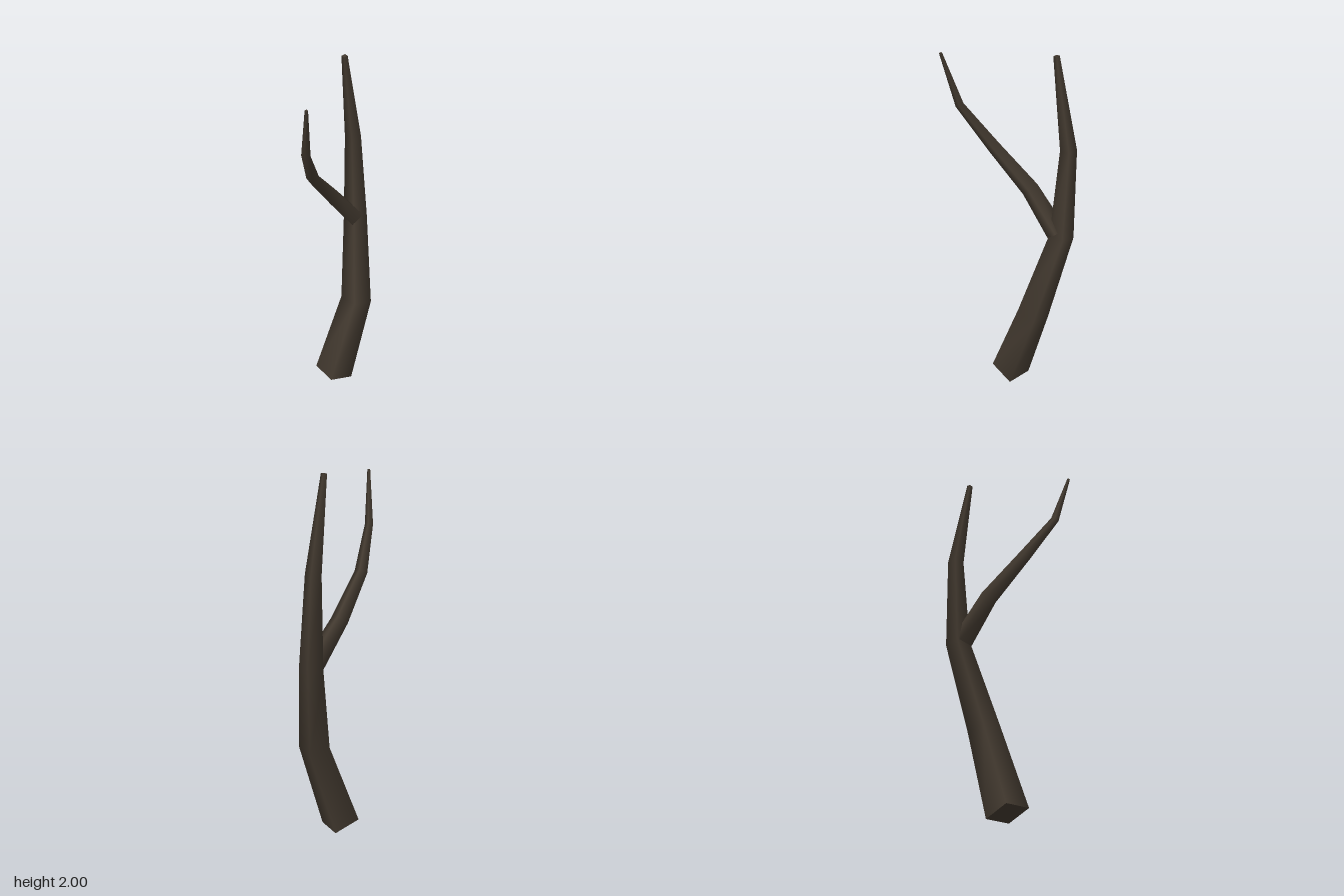
import * as THREE from 'three';

const SIDES = 4;

// Tapered limb: square rings set across a bent path, smooth sides, flat caps.
// Each path entry is [x, y, z, radius].
function limbGeometry(path) {
  const centres = path.map(([x, y, z]) => new THREE.Vector3(x, y, z));
  const last = path.length - 1;
  const direction = (i) => centres[i + 1].clone().sub(centres[i]).normalize();
  const pos = [];
  const index = [];
  const addPoint = (p) => pos.push(p.x, p.y, p.z) / 3 - 1;

  const rings = path.map((entry, i) => {
    const t = direction(Math.min(i, last - 1));
    if (i > 0 && i < last) t.add(direction(i - 1)).normalize();
    const u = new THREE.Vector3(1, 0, 0).addScaledVector(t, -t.x).normalize();
    const v = t.clone().cross(u);
    return Array.from({ length: SIDES }, (_, j) => {
      const a = (j / SIDES) * Math.PI * 2;
      return centres[i].clone()
        .addScaledVector(u, Math.cos(a) * entry[3])
        .addScaledVector(v, Math.sin(a) * entry[3]);
    });
  });

  // Sides
  rings.forEach((ring) => ring.forEach(addPoint));
  for (let i = 0; i < last; i++) {
    for (let j = 0; j < SIDES; j++) {
      const k = (j + 1) % SIDES;
      const a = i * SIDES + j, b = i * SIDES + k;
      index.push(a, b, b + SIDES, a, b + SIDES, a + SIDES);
    }
  }

  // Caps with their own vertices, so the cut edges stay sharp
  const start = rings[0].map(addPoint);
  const end = rings[last].map(addPoint);
  for (let j = 1; j < SIDES - 1; j++) {
    index.push(start[0], start[j + 1], start[j]);
    index.push(end[0], end[j], end[j + 1]);
  }

  const geometry = new THREE.BufferGeometry();
  geometry.setAttribute('position', new THREE.Float32BufferAttribute(pos, 3));
  geometry.setIndex(index);
  geometry.computeVertexNormals();
  return geometry;
}

export function createModel() {
  const group = new THREE.Group();
  group.name = 'bareTree';
  const bark = new THREE.MeshStandardMaterial({ color: 0x42392f });
  bark.name = 'dark bark';

  const addLimb = (name, path) => {
    const mesh = new THREE.Mesh(limbGeometry(path), bark);
    mesh.name = name;
    group.add(mesh);
  };

  addLimb('trunk', [
    [-0.043, 0.029, -0.01, 0.111],
    [0.073, 0.51, -0.135, 0.088],
    [0.044, 1.0, -0.284, 0.066],
    [0.023, 1.5, -0.307, 0.044],
    [-0.014, 1.998, -0.234, 0.016],
  ]);

  addLimb('sideBranch', [
    [0.037, 1.015, -0.258, 0.059],
    [-0.064, 1.23, -0.115, 0.049],
    [-0.13, 1.455, 0.082, 0.036],
    [-0.132, 1.692, 0.256, 0.023],
    [-0.108, 1.983, 0.343, 0.008],
  ]);

  return group;
}
